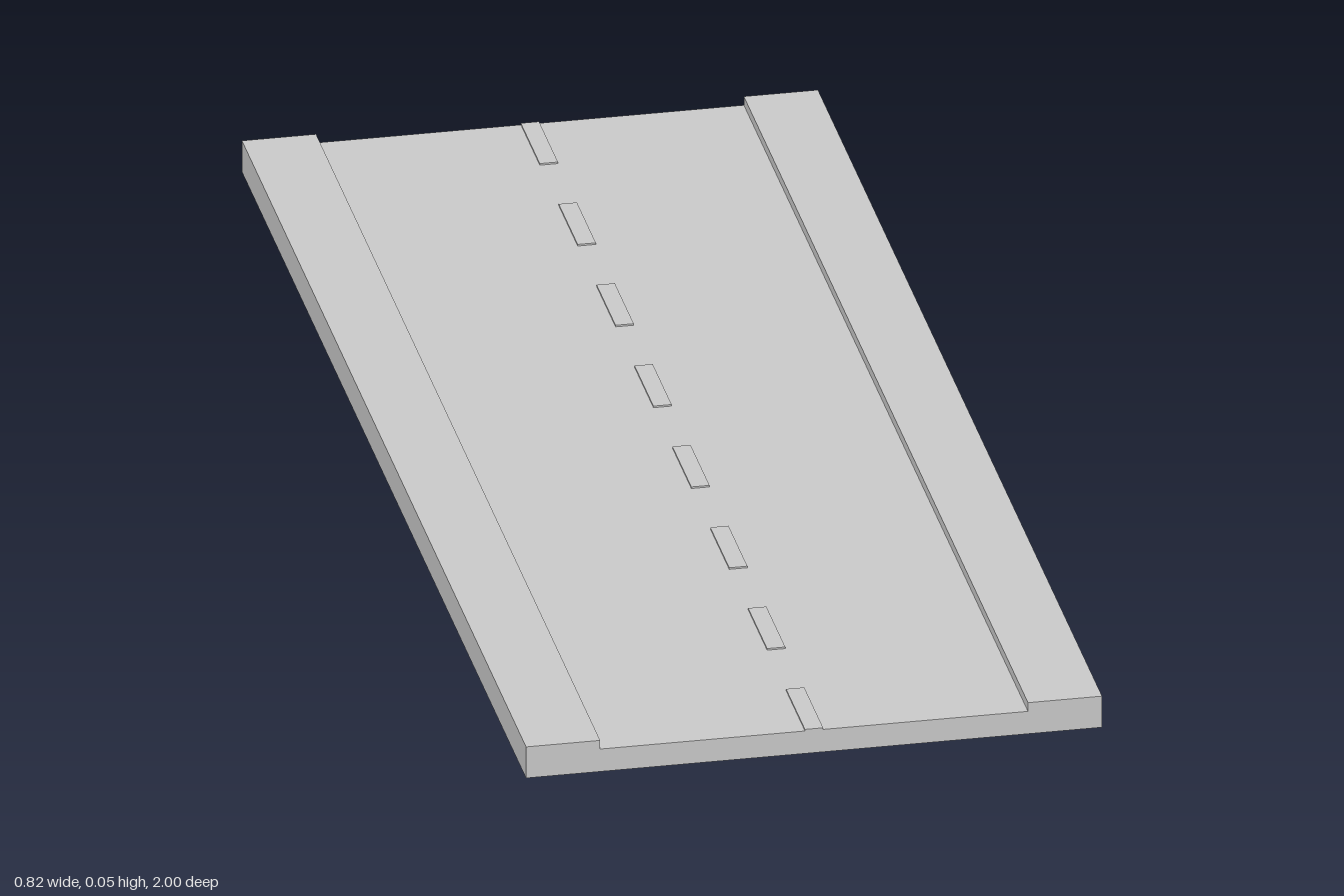
import * as THREE from 'three';

export function createModel() {
  const group = new THREE.Group();
  const material = new THREE.MeshStandardMaterial({ color: 0xcccccc, flatShading: true });

  const length = 2;
  const halfWidth = 0.412;
  const roadHalf = 0.306;
  const roadTop = 0.035;
  const curbTop = 0.0485;

  // Box given by its size, the centre of its base and its name
  function slab(name, w, h, d, x, y, z) {
    const mesh = new THREE.Mesh(new THREE.BoxGeometry(w, h, d), material);
    mesh.name = name;
    mesh.position.set(x, y + h / 2, z);
    group.add(mesh);
  }

  // Roadway
  slab('roadway', roadHalf * 2, roadTop, length, 0, 0, 0);

  // Raised sidewalks along both sides
  const walkWidth = halfWidth - roadHalf;
  for (const [side, name] of [[1, 'leftSidewalk'], [-1, 'rightSidewalk']]) {
    slab(name, walkWidth, curbTop, length, side * (roadHalf + walkWidth / 2), 0, 0);
  }

  // Centre line: eight dashes with equal gaps, flush with both ends
  const dashes = 8;
  const dashLength = length / (dashes * 2 - 1);
  for (let i = 0; i < dashes; i++) {
    const z = length / 2 - dashLength * (2 * i + 0.5);
    slab('centreDash' + (i + 1), 0.026, 0.0025, dashLength, 0, roadTop, z);
  }

  return group;
}
